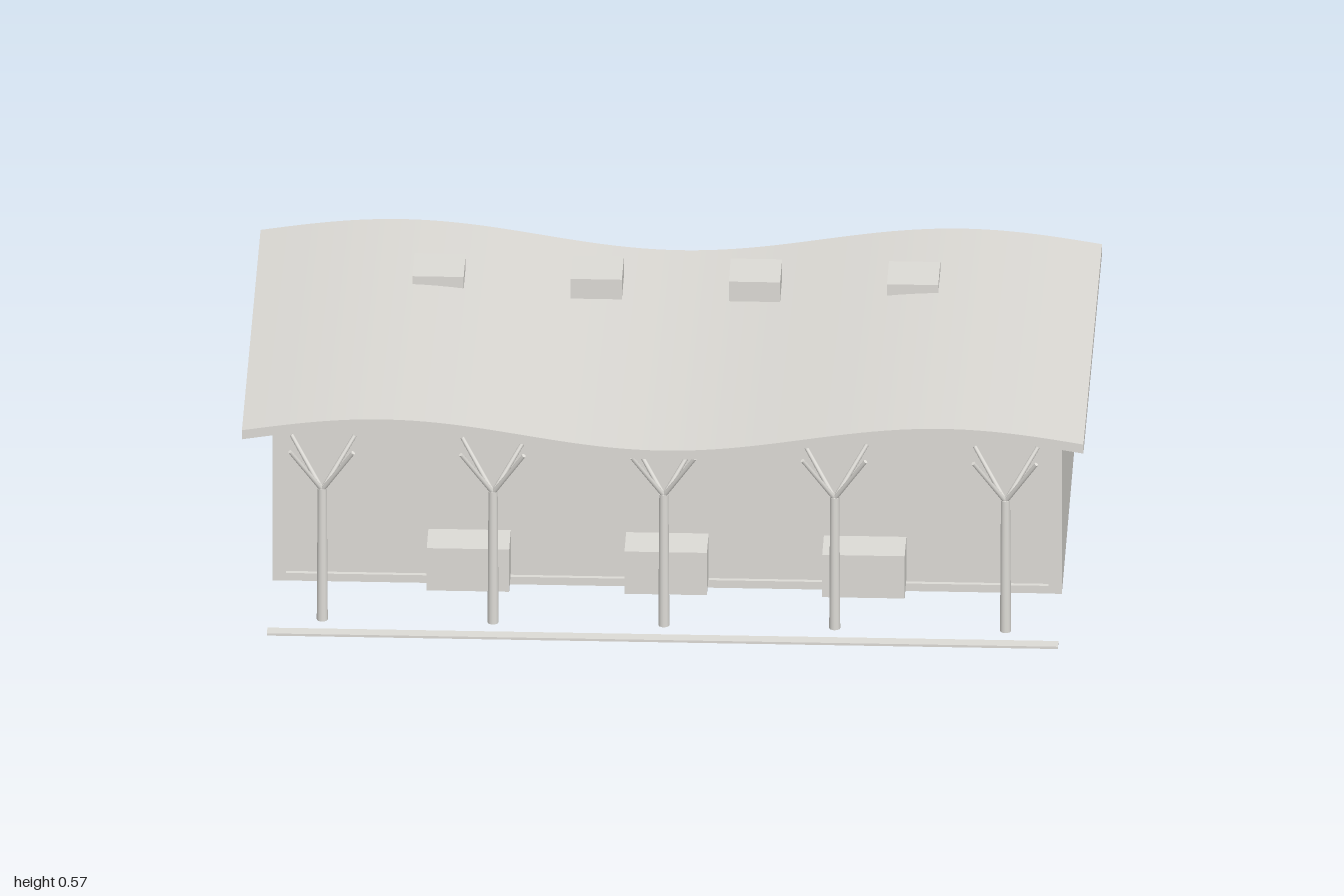
import * as THREE from 'three';

export function createModel() {
  const model = new THREE.Group();
  model.name = 'pavilion';
  const concrete = new THREE.MeshStandardMaterial({ color: 0xdddbd6 });
  concrete.name = 'warm grey';

  function add(geometry, name, parent = model) {
    const mesh = new THREE.Mesh(geometry, concrete);
    mesh.name = name;
    parent.add(mesh);
    return mesh;
  }
  // Box given by its limits on each axis
  function block(name, x0, x1, y0, y1, z0, z1) {
    const mesh = add(new THREE.BoxGeometry(x1 - x0, y1 - y0, z1 - z0), name);
    mesh.position.set((x0 + x1) / 2, (y0 + y1) / 2, (z0 + z1) / 2);
  }
  // Tapered round bar between two points
  function bar(name, from, to, r0, r1, sides, parent) {
    const dir = to.clone().sub(from);
    const mesh = add(new THREE.CylinderGeometry(r1, r0, dir.length(), sides), name, parent);
    mesh.position.copy(from).add(to).multiplyScalar(0.5);
    mesh.quaternion.setFromUnitVectors(new THREE.Vector3(0, 1, 0), dir.normalize());
  }

  // Wavy roof, sloping down to the back
  const zFront = 0.57, zBack = -0.586, thickness = 0.024;
  const roofTop = (x, z) =>
    0.535 - 0.035 * Math.cos(1.5 * Math.PI * x) - 0.04 * (zFront - z) / (zFront - zBack);
  const roof = new THREE.BoxGeometry(2, thickness, zFront - zBack, 64, 1, 1);
  roof.translate(0, -thickness / 2, (zFront + zBack) / 2);
  const p = roof.attributes.position;
  for (let i = 0; i < p.count; i++) {
    p.setY(i, p.getY(i) + roofTop(p.getX(i), p.getZ(i)));
  }
  roof.computeVertexNormals();
  add(roof, 'roof');

  // Skylights, all at one level
  for (const x of [-0.564, -0.188, 0.188, 0.564]) {
    block('skylight', x - 0.061, x + 0.061, 0.511, 0.563, -0.338, -0.214);
  }

  // Open-topped hall: raised floor, side walls, recessed front and back
  const wallTop = 0.437;
  block('floor', -0.91, 0.91, 0.018, 0.036, -0.495, 0.265);
  for (const s of [-1, 1]) {
    block('sideWall', s * 0.922 - 0.016, s * 0.922 + 0.016, 0, wallTop, -0.52, 0.29);
  }
  block('frontSill', -0.91, 0.91, 0, 0.02, 0.262, 0.289);
  block('frontPanel', -0.91, 0.91, 0.018, wallTop, 0.262, 0.278);
  block('frontFascia', -0.345, 0.345, 0.37, wallTop + 0.001, 0.27, 0.289);
  block('backLowerWall', -0.936, 0.936, 0.001, 0.183, -0.522, -0.49);
  block('backUpperPanel', -0.91, 0.91, 0.18, wallTop, -0.508, -0.492);

  // Boxes projecting from the front
  for (const x of [-0.47, 0, 0.47]) {
    block('frontBox', x - 0.098, x + 0.098, 0.026, 0.138, 0.265, 0.382);
  }

  // Tree-like columns with four branches
  for (let i = -2; i <= 2; i++) {
    const column = new THREE.Group();
    column.name = 'treeColumn';
    column.position.set(i * 0.406, 0, 0.493);
    model.add(column);
    bar('trunk', new THREE.Vector3(0, 0, 0), new THREE.Vector3(0, 0.347, 0), 0.0132, 0.011, 12, column);
    for (const sx of [-1, 1]) for (const sz of [-1, 1]) {
      bar('branch', new THREE.Vector3(0, 0.343, 0),
        new THREE.Vector3(sx * 0.075, 0.465, sz * 0.046), 0.006, 0.005, 8, column);
    }
  }

  // Low kerb along the front
  block('kerb', -0.94, 0.94, 0, 0.006, 0.555, 0.586);
  return model;
}
